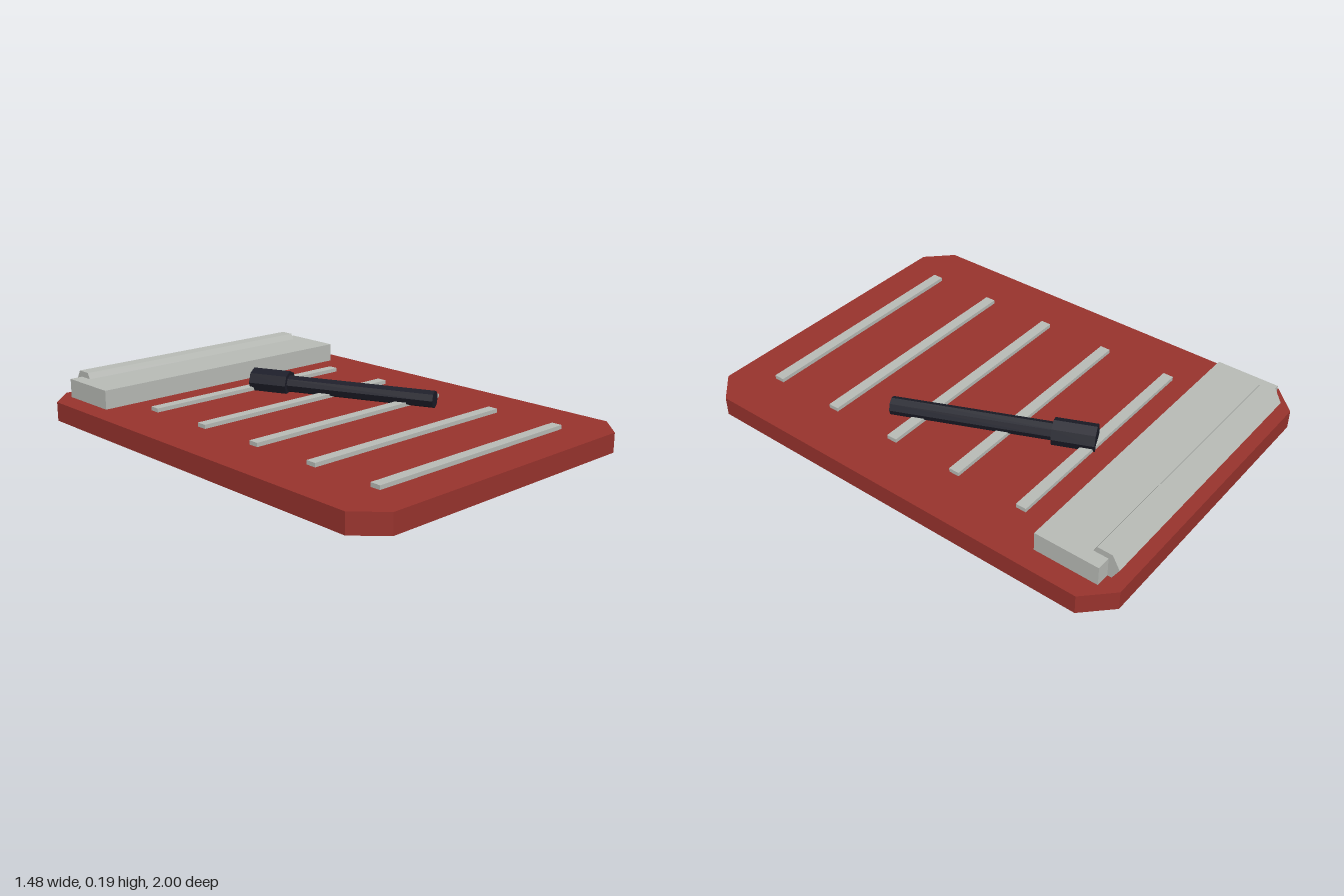
import * as THREE from 'three';

const makeMaterial = (name, color) => {
  const material = new THREE.MeshStandardMaterial({ color, flatShading: true });
  material.name = name;
  return material;
};

export function createModel() {
  const model = new THREE.Group();
  model.name = 'clipboard';
  const red = makeMaterial('board red', 0x98332d);
  const grey = makeMaterial('metal grey', 0xb9bcb7);
  const black = makeMaterial('pen black', 0x1d1e29);

  const add = (parent, name, geometry, material, x = 0, y = 0, z = 0) => {
    const mesh = new THREE.Mesh(geometry, material);
    mesh.name = name;
    mesh.position.set(x, y, z);
    parent.add(mesh);
    return mesh;
  };

  // Board with cut corners
  const W = 0.74, L = 1, CUT = 0.11, TOP = 0.083;
  const outline = new THREE.Shape([
    [W - CUT, -L], [W, -L + CUT], [W, L - CUT], [W - CUT, L],
    [-W + CUT, L], [-W, L - CUT], [-W, -L + CUT], [-W + CUT, -L],
  ].map(([x, y]) => new THREE.Vector2(x, y)));
  const board = new THREE.ExtrudeGeometry(outline, { depth: TOP, bevelEnabled: false });
  board.rotateX(-Math.PI / 2);
  add(model, 'board', board, red);

  // Clip plate and the six-sided hinge bar behind it
  add(model, 'clipPlate', new THREE.BoxGeometry(1.3, 0.082, 0.275), grey, 0, TOP + 0.041, -0.783);
  const hinge = new THREE.CylinderGeometry(0.064, 0.064, 1.184, 6);
  hinge.rotateZ(Math.PI / 2);
  add(model, 'hingeBar', hinge, grey, 0, 0.135, -0.904);

  // Raised ruled lines
  for (let i = 0; i < 5; i++) {
    add(model, 'ruledLine', new THREE.BoxGeometry(1.032, 0.018, 0.046), grey,
      0, TOP + 0.008, -0.485 + i * 0.3225);
  }

  // Pen lying at an angle, made of an eight-sided barrel and cap
  const pen = new THREE.Group();
  pen.name = 'pen';
  pen.position.set(0.038, 0.12, -0.497);
  pen.rotation.y = Math.atan2(0.342, 0.777);
  model.add(pen);
  const rod = (name, radius, from, to) => {
    const geometry = new THREE.CylinderGeometry(radius, radius, to - from, 8);
    geometry.rotateX(Math.PI / 2);
    add(pen, name, geometry, black, 0, 0, (from + to) / 2);
  };
  rod('penBarrel', 0.038, 0.1, 0.849);
  rod('penCap', 0.057, 0, 0.176);

  return model;
}
